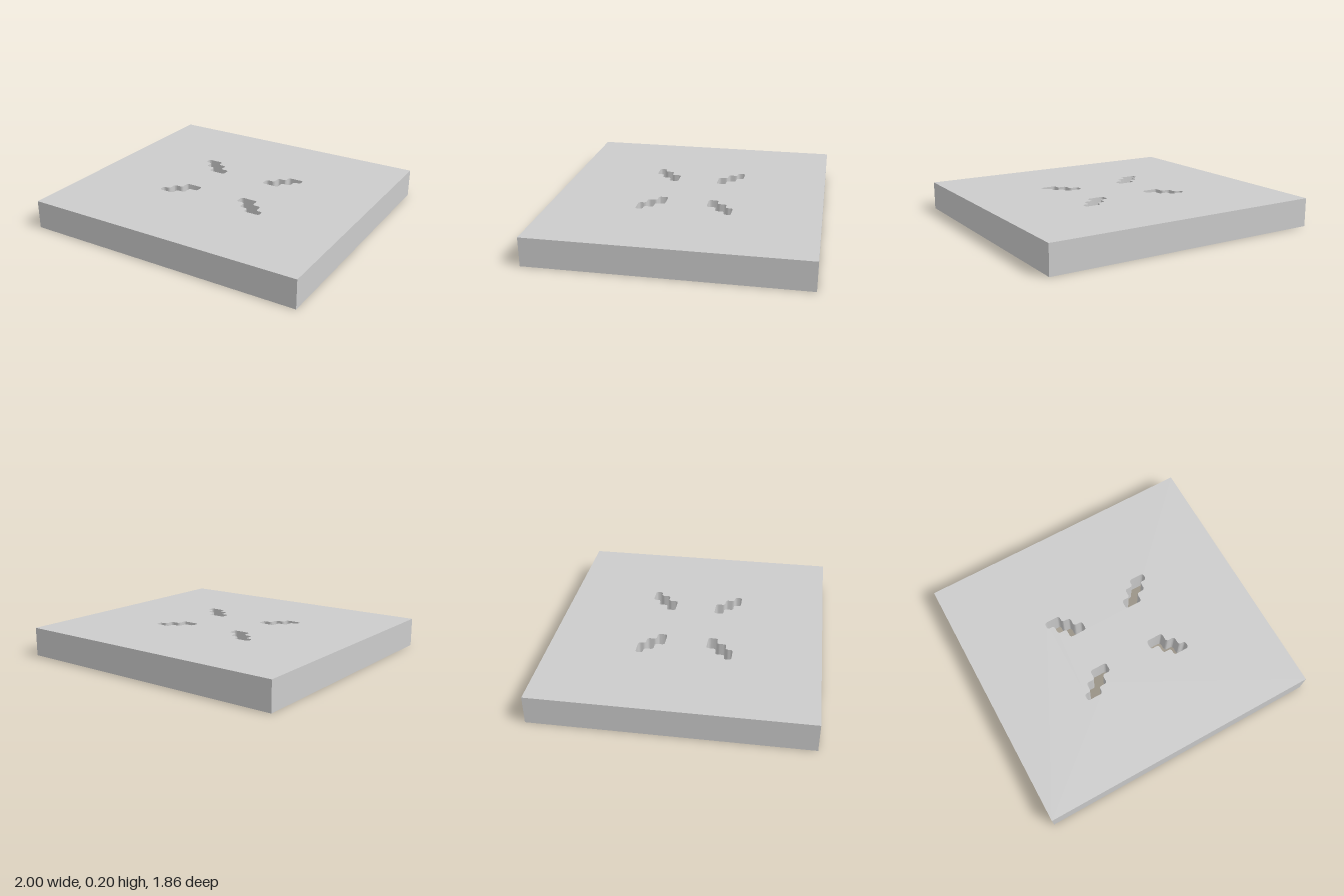
import * as THREE from 'three';
import { toCreasedNormals } from 'three/addons/utils/BufferGeometryUtils.js';

const HALF_X = 1, HALF_Z = 0.93, HEIGHT = 0.2, RADIUS = 0.02;

// Stepped diagonal slot in one quadrant
const SLOT = [
  [0.165, 0.145], [0.29, 0.145], [0.29, 0.212], [0.355, 0.212], [0.355, 0.277], [0.405, 0.277],
  [0.405, 0.328], [0.29, 0.328], [0.29, 0.277], [0.228, 0.277], [0.228, 0.212], [0.165, 0.212],
];

// Closed path through the corners, each one rounded
function roundedPath(corners, r) {
  const path = new THREE.Path();
  const pts = corners.map(([x, y]) => new THREE.Vector2(x, y));
  const toward = (a, b) => b.clone().sub(a).setLength(r).add(a);
  pts.forEach((p, i) => {
    const start = toward(p, pts[(i + pts.length - 1) % pts.length]);
    const end = toward(p, pts[(i + 1) % pts.length]);
    if (i === 0) path.moveTo(start.x, start.y);
    else path.lineTo(start.x, start.y);
    path.quadraticCurveTo(p.x, p.y, end.x, end.y);
  });
  path.closePath();
  return path;
}

// Upright open band following a closed outline (plan y becomes -z)
function wallGeometry(outline) {
  const pos = [];
  outline.forEach((a, i) => {
    const b = outline[(i + 1) % outline.length];
    if (a.distanceTo(b) < 1e-6) return;
    pos.push(a.x, 0, -a.y, b.x, 0, -b.y, b.x, HEIGHT, -b.y);
    pos.push(a.x, 0, -a.y, b.x, HEIGHT, -b.y, a.x, HEIGHT, -a.y);
  });
  const geo = new THREE.BufferGeometry();
  geo.setAttribute('position', new THREE.Float32BufferAttribute(pos, 3));
  return toCreasedNormals(geo, Math.PI / 5);
}

export function createModel() {
  const group = new THREE.Group();
  const material = new THREE.MeshStandardMaterial({ color: 0xcccccc, side: THREE.DoubleSide });
  const add = (name, geometry) => {
    const mesh = new THREE.Mesh(geometry, material);
    mesh.name = name;
    group.add(mesh);
  };

  const plate = new THREE.Shape([
    new THREE.Vector2(-HALF_X, -HALF_Z), new THREE.Vector2(HALF_X, -HALF_Z),
    new THREE.Vector2(HALF_X, HALF_Z), new THREE.Vector2(-HALF_X, HALF_Z),
  ]);

  // Four mirrored slots, each with a sleeve down to the floor
  for (const sx of [-1, 1]) for (const sy of [-1, 1]) {
    const corners = SLOT.map(([x, y]) => [x * sx, y * sy]);
    if (sx * sy > 0) corners.reverse(); // clockwise, so sleeves face into the slot
    const hole = roundedPath(corners, RADIUS);
    plate.holes.push(hole);
    const side = sx > 0 ? 'Left' : 'Right';
    add((sy > 0 ? 'back' : 'front') + side + 'SlotSleeve', wallGeometry(hole.getPoints(5)));
  }

  // Top sheet and outer skirt, open underneath
  const top = new THREE.ShapeGeometry(plate, 5);
  top.rotateX(-Math.PI / 2).translate(0, HEIGHT, 0);
  add('topPlate', top);
  add('outerSkirt', wallGeometry(plate.getPoints()));
  return group;
}
